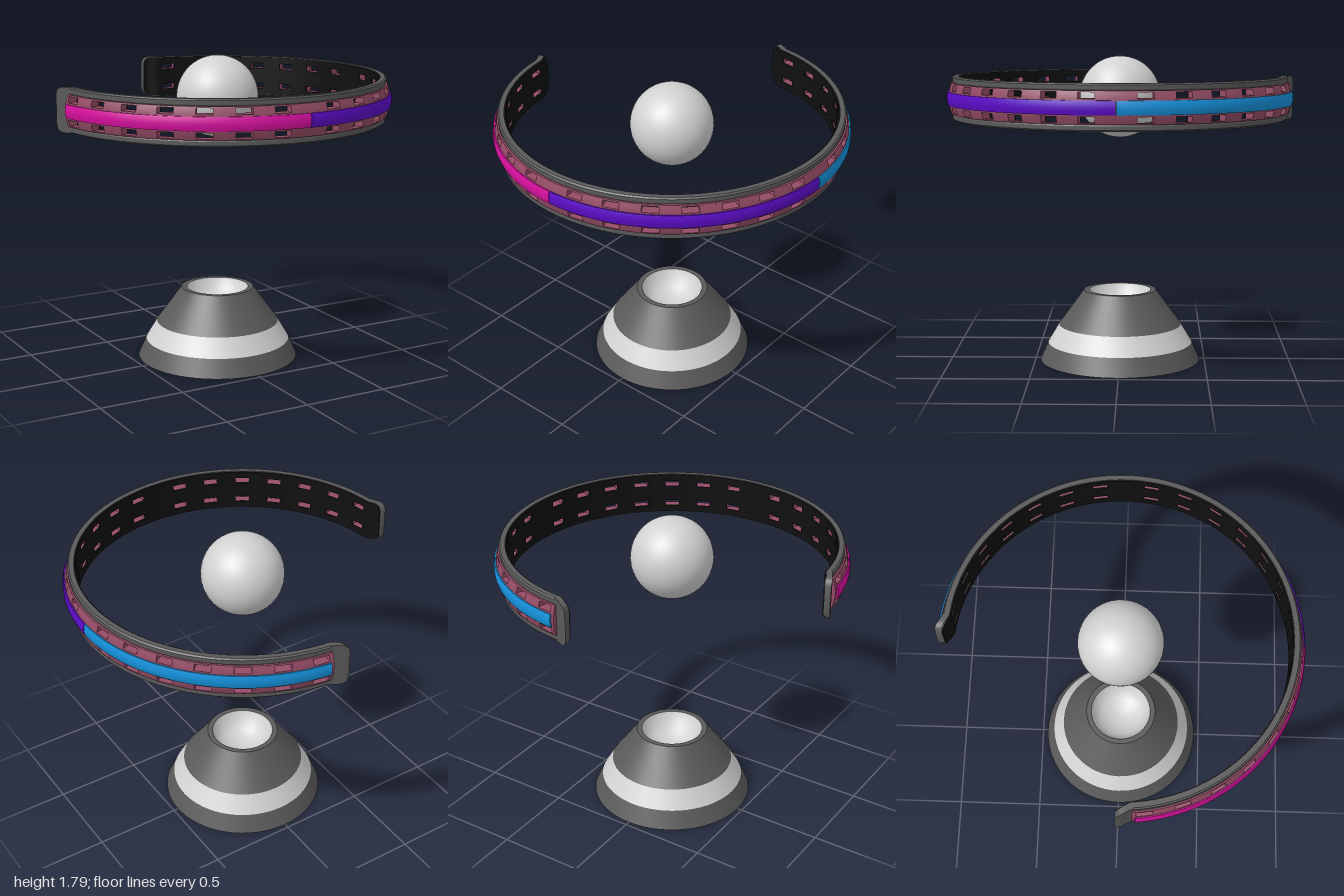
import * as THREE from 'three';
import { mergeGeometries, toCreasedNormals } from 'three/addons/utils/BufferGeometryUtils.js';

const RING_Y = 1.556;
const D = Math.PI / 180;

const mat = (name, color) => {
  const m = new THREE.MeshStandardMaterial({ color });
  m.name = name;
  return m;
};

// Sweeps a cross-section of [radius, height] corners (counter-clockwise) round the y axis.
// Angles in degrees: 0 is the front, 90 is +x. The profile may depend on t = 0..1.
function sweep(profile, a0, a1, step = 2) {
  const n = Math.max(1, Math.ceil((a1 - a0) / step));
  const rows = [];
  for (let s = 0; s <= n; s++) {
    const a = (a0 + (a1 - a0) * s / n) * D;
    const p = typeof profile === 'function' ? profile(s / n) : profile;
    rows.push(p.map(([r, y]) => [r * Math.sin(a), y, r * Math.cos(a)]));
  }
  const pos = [];
  const tri = (a, b, c) => pos.push(...a, ...b, ...c);
  const k = rows[0].length;
  for (let s = 0; s < n; s++) {
    for (let i = 0; i < k; i++) {
      const j = (i + 1) % k;
      tri(rows[s][i], rows[s + 1][i], rows[s][j]);
      tri(rows[s + 1][i], rows[s + 1][j], rows[s][j]);
    }
  }
  for (let i = 1; i < k - 1; i++) {
    tri(rows[0][0], rows[0][i], rows[0][i + 1]);
    tri(rows[n][0], rows[n][i + 1], rows[n][i]);
  }
  const g = new THREE.BufferGeometry();
  g.setAttribute('position', new THREE.Float32BufferAttribute(pos, 3));
  return g;
}

const box = (r0, r1, y0, y1) => [[r0, y0], [r1, y0], [r1, y1], [r0, y1]];

// Bulging outer radius of the perforated band
const bulge = (y) => 0.99 - 0.018 * (y / 0.09) ** 2;
const bandProfile = (y0, y1) => {
  const p = [[0.931, y0]];
  for (let i = 0; i <= 4; i++) {
    const y = y0 + (y1 - y0) * i / 4;
    p.push([bulge(y), y]);
  }
  p.push([0.931, y1]);
  return p;
};

// A wall with two rows of slots, from three solid strips and posts between the slots
function slottedWall(profileOf, half, a0, a1) {
  const lo = 0.047, hi = 0.08, slot = 2.6;
  const parts = [
    sweep(profileOf(-lo, lo), a0, a1),
    sweep(profileOf(hi, half), a0, a1),
    sweep(profileOf(-half, -hi), a0, a1),
  ];
  let from = a0;
  const posts = [];
  for (let section = -90; section < 180; section += 90) {
    for (let i = 0; i < 7; i++) {
      const c = section + 9 + 12 * i;
      posts.push([from, c - slot]);
      from = c + slot;
    }
  }
  posts.push([from, a1]);
  for (const [b0, b1] of posts) {
    parts.push(sweep(profileOf(lo, hi), b0, b1), sweep(profileOf(-hi, -lo), b0, b1));
  }
  return parts;
}

// Rounded tip that flares outward; t runs from the ring (0) to the free end (1)
const tip = (r0, r1, half) => (t) => {
  const flare = 0.035 * t * t * (3 - 2 * t);
  const u = Math.max(0, (t - 0.4) / 0.6);
  const h = half - 0.045 * (1 - Math.sqrt(1 - u * u));
  return box(r0 + flare, r1 + flare, -h, h);
};
const bothTips = (r0, r1, half) => {
  const f = tip(r0, r1, half);
  return [sweep(f, 174.5, 180, 0.5), sweep((t) => f(1 - t), -90, -84.5, 0.5)];
};

export function createModel() {
  const dark = mat('dark grey', 0x5a5a5a);
  const light = mat('light grey', 0xd2d2d2);
  const black = mat('black', 0x101010);
  const mauve = mat('mauve', 0x954c66);
  const colours = [mat('magenta', 0xd8109f), mat('purple', 0x5c0cc8), mat('blue', 0x1592dc)];

  const model = new THREE.Group();
  const add = (name, geometry, material, parent = model) => {
    const m = new THREE.Mesh(geometry, material);
    m.name = name;
    parent.add(m);
    return m;
  };
  const merged = (parts) => toCreasedNormals(mergeGeometries(parts), 0.5);

  // Open three-quarter ring
  const ring = new THREE.Group();
  ring.name = 'ring';
  ring.position.y = RING_Y;
  model.add(ring);

  const rim = [[0.93, 0.088], [0.962, 0.088], [0.966, 0.095], [0.966, 0.117], [0.958, 0.125], [0.93, 0.125]];
  const lowerRim = rim.map(([r, y]) => [r, -y]).reverse();
  add('upperRim', merged([sweep(rim, -84.5, 174.5)]), dark, ring);
  add('lowerRim', merged([sweep(lowerRim, -84.5, 174.5)]), dark, ring);
  add('rimTips', merged(bothTips(0.93, 0.966, 0.125)), dark, ring);

  add('innerLining', merged([
    ...slottedWall((y0, y1) => box(0.923, 0.931, y0, y1), 0.12, -84.5, 174.5),
    ...bothTips(0.923, 0.931, 0.12),
  ]), black, ring);
  add('slottedBand', merged(slottedWall(bandProfile, 0.088, -85, 175)), mauve, ring);

  // Coloured strips, one per quarter
  const strip = [[0.98, -0.038], [0.993, -0.038], [0.999, -0.018], [1, 0], [0.999, 0.018], [0.993, 0.038], [0.98, 0.038]];
  ['rightStrip', 'frontLeftStrip', 'backLeftStrip'].forEach((name, i) => {
    const a0 = i === 0 ? -84 : -90 + 90 * i + 0.1;
    const a1 = i === 2 ? 174 : 90 * i - 0.1;
    add(name, merged([sweep(strip, a0, a1)]), colours[i], ring);
  });

  // Floating ball
  add('ball', new THREE.SphereGeometry(0.236, 48, 32), light).position.y = RING_Y;

  // Conical stand
  const stand = new THREE.Group();
  stand.name = 'stand';
  model.add(stand);
  const lathe = (name, points, material) => add(name, toCreasedNormals(
    new THREE.LatheGeometry(points.map(([x, y]) => new THREE.Vector2(x, y)), 64), 0.5), material, stand);
  lathe('standFoot', [[0, 0], [0.472, 0], [0.425, 0.105]], dark);
  lathe('standStripe', [[0.425, 0.105], [0.361, 0.212]], light);
  lathe('standTop', [[0.361, 0.212], [0.29, 0.308], [0.212, 0.417], [0.182, 0.417]], dark);
  lathe('standBowl', [[0.182, 0.417], [0.16, 0.36], [0.12, 0.32], [0.06, 0.295], [0, 0.288]], light);

  return model;
}
